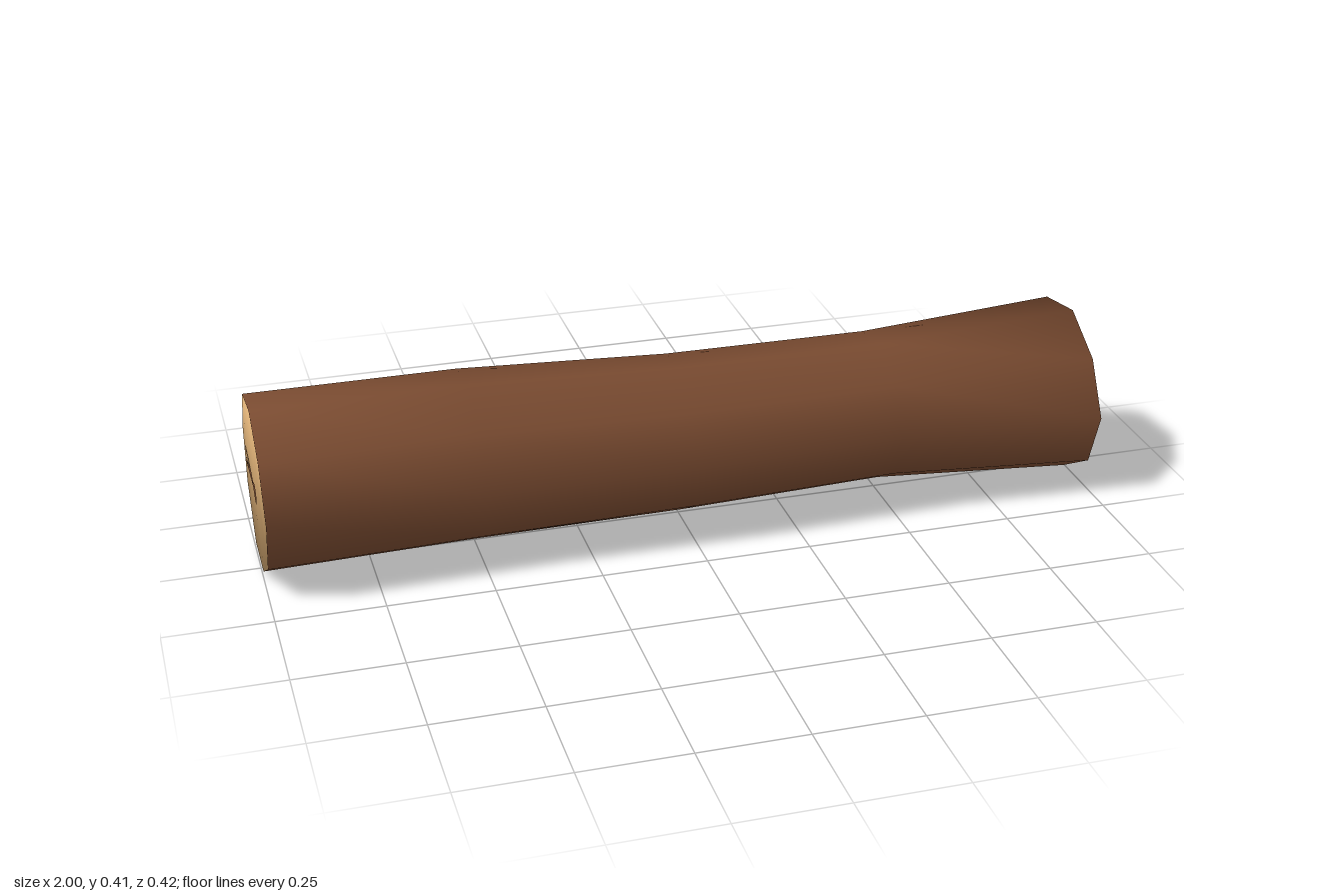
import * as THREE from 'three';

export function createModel() {
  const bark = new THREE.MeshStandardMaterial({ color: 0x784a30 });
  bark.name = 'bark brown';
  const wood = new THREE.MeshStandardMaterial({ color: 0xdbae75 });
  wood.name = 'cut wood tan';
  const model = new THREE.Group();
  model.name = 'log';

  // Uneven nine-sided outline as [z, y], normalised to -1..1 and 0..1
  const outline = [
    [0.05, 1], [-0.66, 0.94], [-1, 0.64], [-1, 0.285], [-0.56, 0],
    [0.14, 0], [0.76, 0.185], [1, 0.515], [0.66, 0.82],
  ];
  const n = outline.length;
  // Cross-sections along the log: x, yMin, yMax, zMin, zMax
  const sections = [
    [-0.998, 0.01, 0.41, -0.2, 0.21],
    [-0.5, 0.015, 0.406, -0.208, 0.195],
    [0, 0.03, 0.395, -0.17, 0.2],
    [0.5, 0.038, 0.388, -0.177, 0.18],
    [0.998, 0.001, 0.415, -0.213, 0.206],
  ];
  const ringPoint = ([x, y0, y1, z0, z1], i) => {
    const [z, y] = outline[i];
    return [x, y0 + y * (y1 - y0), z0 + (z + 1) / 2 * (z1 - z0)];
  };

  // Bark sides and cut ends share their vertices, so the rims shade softly
  const positions = [], index = [];
  for (const s of sections) for (let i = 0; i < n; i++) positions.push(...ringPoint(s, i));
  for (let r = 0; r < sections.length - 1; r++) {
    for (let i = 0; i < n; i++) {
      const a = r * n + i, b = r * n + (i + 1) % n;
      index.push(a, b, a + n, b, b + n, a + n);
    }
  }
  const sideCount = index.length;
  const fan = [[7, 8, 6], [8, 0, 6], [0, 5, 6], [0, 1, 5], [1, 4, 5], [1, 2, 4], [2, 3, 4]];
  const last = (sections.length - 1) * n;
  for (const [a, b, c] of fan) {
    index.push(a, b, c);
    index.push(last + a, last + c, last + b);
  }
  const geometry = new THREE.BufferGeometry();
  geometry.setAttribute('position', new THREE.Float32BufferAttribute(positions, 3));
  geometry.setIndex(index);
  // Make sure the winding faces outward
  const p = i => new THREE.Vector3().fromArray(positions, index[i] * 3);
  const normal = p(1).sub(p(0)).cross(p(2).sub(p(0)));
  const outward = p(0).sub(new THREE.Vector3(p(0).x, 0.21, 0));
  if (normal.dot(outward) < 0) {
    for (let i = 0; i < sideCount; i += 3) [index[i + 1], index[i + 2]] = [index[i + 2], index[i + 1]];
    geometry.setIndex(index);
  }
  geometry.addGroup(0, sideCount, 0);
  geometry.addGroup(sideCount, index.length - sideCount, 1);
  geometry.computeVertexNormals();
  const trunk = new THREE.Mesh(geometry, [bark, wood]);
  trunk.name = 'trunk';
  model.add(trunk);

  // Flat brown patch on a cut end; points are [-z, y] on the right-hand end
  const patch = (points, name, parent) => {
    const shape = new THREE.Shape(points.map(([x, y]) => new THREE.Vector2(x, y)));
    const mesh = new THREE.Mesh(new THREE.ShapeGeometry(shape).rotateY(Math.PI / 2), bark);
    mesh.position.x = 1;
    mesh.name = name;
    parent.add(mesh);
  };

  // Dark heart with a split running to one side, on both ends
  const heart = [];
  for (let i = 0; i <= 12; i++) {
    const a = -2.6 + i / 12 * 5.2;
    heart.push([0.016 + 0.027 * Math.cos(a), 0.204 + 0.026 * Math.sin(a)]);
  }
  heart.push([-0.03, 0.229], [-0.085, 0.238], [-0.095, 0.219], [-0.15, 0.217], [-0.15, 0.204], [-0.02, 0.203]);
  const split = [[-0.15, 0.237], [-0.08, 0.232], [-0.075, 0.239], [-0.135, 0.248], [-0.15, 0.248]];
  for (const [name, turn] of [['rightEndHeart', 0], ['leftEndHeart', Math.PI]]) {
    const group = new THREE.Group();
    group.name = name;
    group.rotation.y = turn;
    patch(heart, 'heartSplit', group);
    patch(split, 'sideSplit', group);
    model.add(group);
  }

  // Bark left on the corners of one end: corner, reach to previous, reach to next
  const end = sections[sections.length - 1];
  for (const [i, back, ahead] of [[7, 0.3, 0.25], [1, 0.4, 0.35], [4, 0.85, 0.3], [6, 0.15, 0.35]]) {
    const at = k => { const v = ringPoint(end, (k + n) % n); return new THREE.Vector2(-v[2], v[1]); };
    const c = at(i), a = c.clone().lerp(at(i - 1), back), b = c.clone().lerp(at(i + 1), ahead);
    patch([[a.x, a.y], [c.x, c.y], [b.x, b.y]], 'cornerBark', model);
  }
  return model;
}
